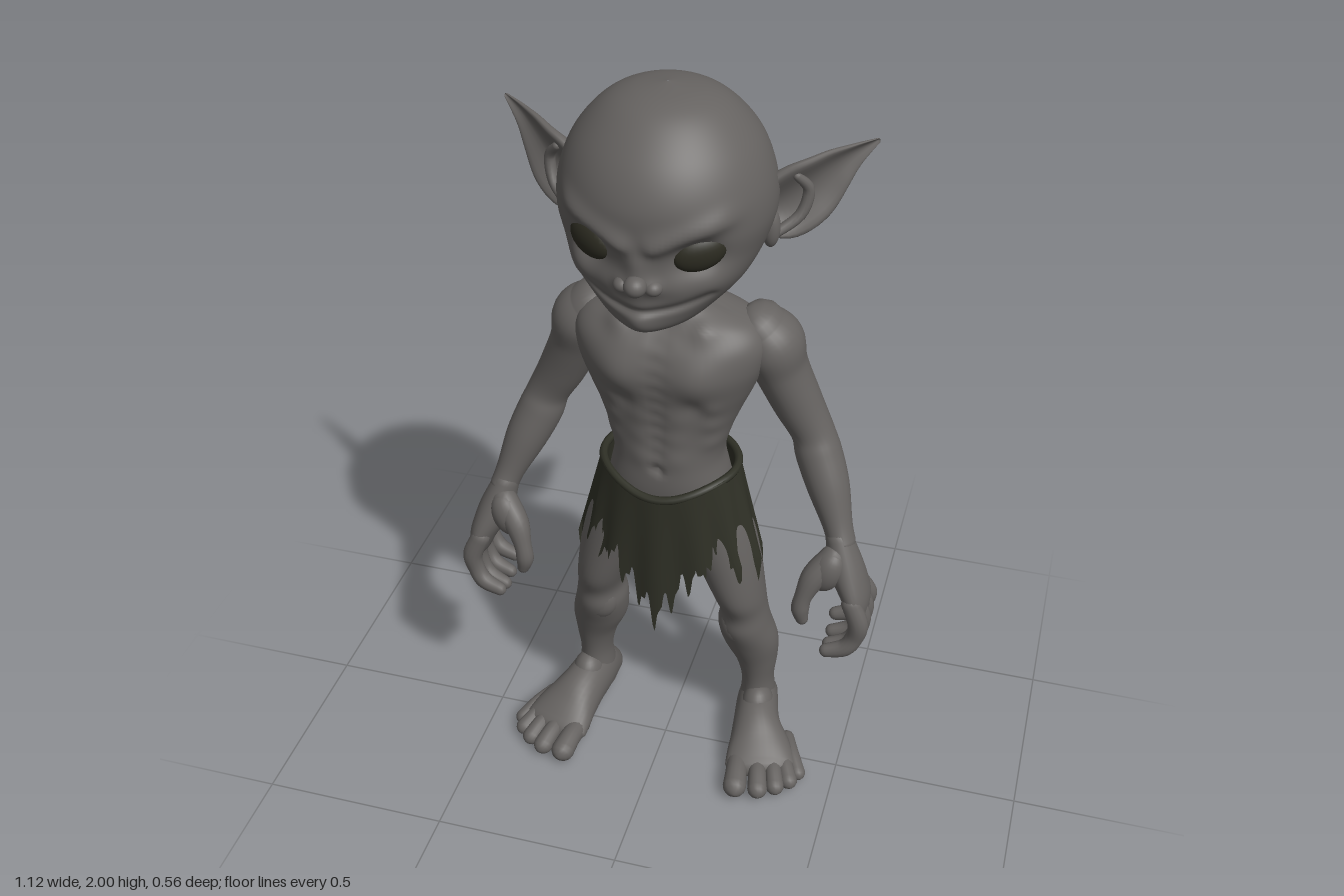
import * as THREE from 'three';

const skin = new THREE.MeshStandardMaterial({ color: 0x656260 });
skin.name = 'grey skin';
const cloth = new THREE.MeshStandardMaterial({ color: 0x2f3026, side: THREE.DoubleSide });
cloth.name = 'dark cloth';
const eyeDark = new THREE.MeshStandardMaterial({ color: 0x2c2b21 });
eyeDark.name = 'dark eye';

const V = (x, y, z) => new THREE.Vector3(x, y, z);

function surface(pos, index) {
  const g = new THREE.BufferGeometry();
  g.setAttribute('position', new THREE.Float32BufferAttribute(pos, 3));
  g.setIndex(index);
  g.computeVertexNormals();
  return g;
}

// Smooth skin over elliptical sections [x, y, z, radius along ref, radius across].
// flat keeps every ring horizontal; otherwise rings follow the path and the ends are rounded.
function loft(sections, { ref = V(1, 0, 0), flat = false, seg = 20, sub = 5, round = (c, s) => [c, s] } = {}) {
  const rows = [];
  const n = sections.length - 1;
  const at = (i) => sections[Math.min(n, Math.max(0, i))];
  for (let k = 0; k <= n * sub; k++) {
    const i = Math.min(n - 1, Math.floor(k / sub)), t = k / sub - i;
    rows.push(at(i).map((b, d) => {
      const a = at(i - 1)[d], c = at(i + 1)[d], e = at(i + 2)[d];
      return b + 0.5 * t * (c - a + t * (2 * a - 5 * b + 4 * c - e + t * (3 * (b - c) + e - a)));
    }));
  }
  const point = (r) => V(r[0], r[1], r[2]);
  const rings = rows.map((r, i) => {
    const dir = point(rows[Math.min(i + 1, rows.length - 1)]).sub(point(rows[Math.max(i - 1, 0)])).normalize();
    if (flat) dir.set(0, Math.sign(dir.y), 0);
    return { p: point(r), a: r[3], b: r[4], dir };
  });
  if (!flat) {
    const cap = (r, sign) => [0.4, 0.75, 0.95, 1].map((h) => {
      const k = Math.max(0.02, Math.sqrt(1 - h * h));
      return { p: r.p.clone().addScaledVector(r.dir, sign * h * Math.min(r.a, r.b)), a: r.a * k, b: r.b * k, dir: r.dir };
    });
    const head = cap(rings[0], -1).reverse(), tail = cap(rings[rings.length - 1], 1);
    rings.unshift(...head);
    rings.push(...tail);
  }
  const pos = [], index = [];
  rings.forEach(({ p, a, b, dir }, i) => {
    const u = ref.clone().addScaledVector(dir, -ref.dot(dir)).normalize();
    const v = dir.clone().cross(u);
    for (let j = 0; j < seg; j++) {
      const w = (j / seg) * Math.PI * 2;
      const [c, s] = round(Math.cos(w), Math.sin(w));
      pos.push(...p.clone().addScaledVector(u, a * c).addScaledVector(v, b * s).toArray());
      if (i < rings.length - 1) {
        const q = i * seg + j, r = i * seg + (j + 1) % seg;
        index.push(q, r, q + seg, r, r + seg, q + seg);
      }
    }
  });
  return surface(pos, index);
}

// Push the surface softly around (x, y) and its mirror, on the front (1) or back (-1).
function sculpt(geo, bumps) {
  const p = geo.attributes.position;
  const all = bumps.flatMap((b) => (b[0] ? [b, [-b[0], b[1], b[2], b[3], -b[4], b[5], b[6]]] : [b]));
  for (let i = 0; i < p.count; i++) {
    const x = p.getX(i), y = p.getY(i), z = p.getZ(i);
    const out = [x, y, z];
    for (const [bx, by, side, r, ...d] of all) {
      if ((z + 0.04) * side < 0) continue;
      const w = Math.exp(-((x - bx) ** 2 + (y - by) ** 2) / (r * r));
      d.forEach((m, k) => { out[k] += m * w; });
    }
    p.setXYZ(i, ...out);
  }
  geo.computeVertexNormals();
  return geo;
}

function ellipsoid(x, y, z, rx, ry, rz, yaw = 0, roll = 0) {
  return new THREE.SphereGeometry(1, 24, 16).scale(rx, ry, rz).rotateZ(roll).rotateY(yaw).translate(x, y, z);
}

function mirrored(geo) {
  const g = geo.clone().scale(-1, 1, 1);
  const ix = g.index.array;
  for (let i = 0; i < ix.length; i += 3) [ix[i], ix[i + 1]] = [ix[i + 1], ix[i]];
  g.computeVertexNormals();
  return g;
}

// Rows [y, half width, back z, front z] to horizontal sections.
const stack = (rows) => rows.map(([y, w, b, f]) => [0, y, (b + f) / 2, w, (f - b) / 2]);

// Hanging cloth between two angles (front is PI / 2) with a ragged hem.
function drape(a0, a1, grow, top, hem) {
  const cols = 180, rows = 12, pos = [], index = [];
  for (let i = 0; i <= cols; i++) {
    const a = a0 + (a1 - a0) * (i / cols), yt = top(a), yh = hem(a);
    for (let j = 0; j <= rows; j++) {
      const y = yt + (yh - yt) * (j / rows);
      const drop = Math.min(1, (0.96 - y) / 0.3);
      const fold = 1 + 0.03 * drop * Math.sin(a * 13) + grow;
      pos.push((0.18 + 0.07 * drop) * fold * Math.cos(a), y, -0.053 + 0.15 * fold * Math.sin(a));
      if (i < cols && j < rows) {
        const q = i * (rows + 1) + j, r = q + rows + 1;
        index.push(q, r, q + 1, r, r + 1, q + 1);
      }
    }
  }
  return surface(pos, index);
}

export function createModel() {
  const model = new THREE.Group();
  const add = (name, geo, mat = skin) => {
    const m = new THREE.Mesh(geo, mat);
    m.name = name;
    model.add(m);
  };
  const pair = (name, geo, mat = skin) => {
    add(name + 'Left', geo, mat);
    add(name + 'Right', mirrored(geo), mat);
  };

  // Head: round skull, flat-bottomed jaw, scowling brow, broad nose and thin grin
  const head = loft(stack([
    [2, 0.002, -0.022, -0.018], [1.985, 0.09, -0.11, 0.07], [1.95, 0.155, -0.175, 0.135], [1.88, 0.215, -0.24, 0.2],
    [1.8, 0.248, -0.273, 0.236], [1.72, 0.257, -0.28, 0.238], [1.65, 0.24, -0.262, 0.228], [1.58, 0.205, -0.215, 0.224],
    [1.53, 0.16, -0.15, 0.222], [1.49, 0.112, -0.09, 0.208], [1.47, 0.065, -0.04, 0.165], [1.465, 0.002, 0.07, 0.074],
  ]), { flat: true, seg: 128, sub: 10 });
  const face = [
    [0.125, 1.685, 1, 0.048, 0, 0, -0.036], [0.16, 1.61, 1, 0.045, 0.005, 0, 0.014], [0, 1.5, 1, 0.04, 0, 0, 0.012],
    [0, 1.58, 1, 0.04, 0, 0, 0.008], [0, 1.525, 1, 0.03, 0, 0, 0.006], [0.08, 1.61, 1, 0.035, 0, 0, 0.008],
    [0, 1.675, 1, 0.03, 0, 0, 0.012], [0, 1.63, 1, 0.034, 0, 0, 0.02], [0.035, 1.615, 1, 0.02, 0, 0, 0.012],
  ];
  for (let t = 0; t <= 1; t += 0.2) face.push([0.035 + 0.15 * t, 1.72 + 0.055 * t, 1, 0.024, 0, -0.004, 0.013]);
  for (let x = 0; x <= 0.15; x += 0.0125) face.push([x, 1.545 + 1.5 * x * x, 1, 0.011, 0, 0, -0.007]);
  add('head', sculpt(head, face));
  add('noseTip', ellipsoid(0, 1.625, 0.25, 0.027, 0.025, 0.029));
  pair('nostril', ellipsoid(0.036, 1.615, 0.228, 0.022, 0.019, 0.024));
  pair('eye', ellipsoid(0.126, 1.687, 0.17, 0.064, 0.044, 0.028, 0.52, 0.2), eyeDark);

  // Ears: long, swept back, hollow at the front, with an inner fold
  pair('ear', loft([
    [0.215, 1.675, -0.05, 0.05, 0.04], [0.26, 1.695, -0.07, 0.085, 0.046], [0.32, 1.735, -0.1, 0.085, 0.036],
    [0.37, 1.778, -0.135, 0.058, 0.024], [0.41, 1.808, -0.165, 0.029, 0.015], [0.452, 1.834, -0.19, 0.007, 0.006],
  ], { ref: V(0, 1, 0), seg: 32, round: (c, s) => [c, s > 0 ? s * (1 - 1.5 * s * s) : s] }));
  pair('earLobe', ellipsoid(0.243, 1.66, -0.035, 0.022, 0.05, 0.022));
  pair('earFold', loft([
    [0.25, 1.64, -0.045, 0.014, 0.012], [0.3, 1.675, -0.085, 0.016, 0.014],
    [0.315, 1.735, -0.1, 0.014, 0.014], [0.29, 1.775, -0.08, 0.01, 0.01],
  ], { ref: V(0, 0, 1), seg: 12 }));

  // Torso with neck, sloping shoulders, chest muscles, shoulder blades and spine
  const torso = loft(stack([
    [1.52, 0.07, -0.125, 0.02], [1.455, 0.076, -0.135, 0.018], [1.42, 0.13, -0.158, 0.025], [1.385, 0.21, -0.18, 0.05],
    [1.34, 0.242, -0.2, 0.078], [1.28, 0.24, -0.218, 0.09], [1.21, 0.216, -0.22, 0.086], [1.14, 0.186, -0.21, 0.078],
    [1.07, 0.159, -0.19, 0.076], [1, 0.143, -0.17, 0.08], [0.93, 0.155, -0.175, 0.08], [0.86, 0.168, -0.178, 0.07],
    [0.78, 0.15, -0.16, 0.055], [0.7, 0.04, -0.08, 0],
  ]), { flat: true, seg: 72, sub: 7, round: (c, s) => [c, s].map((v) => Math.sign(v) * Math.abs(v) ** 0.88) });
  const body = [
    [0.1, 1.275, 1, 0.07, 0, 0, 0.022], [0.09, 1.195, 1, 0.03, 0, 0, -0.01], [0.11, 1.395, 1, 0.03, 0, 0.005, 0.014],
    [0.12, 1.3, -1, 0.07, 0, 0, -0.02], [0.06, 1.08, -1, 0.05, 0, 0, -0.012], [0, 1.41, 1, 0.03, 0, 0, -0.015],
    [0, 0.99, 1, 0.012, 0, 0, -0.012],
  ];
  for (let y = 1; y < 1.4; y += 0.04) body.push([0, y, -1, 0.03, 0, 0, 0.013], [0, y, 1, 0.016, 0, 0, -0.005]);
  for (let y = 1.03; y < 1.18; y += 0.06) body.push([0.045, y, 1, 0.03, 0, 0, 0.005], [0.13, y + 0.04, 1, 0.024, 0.002, 0, 0.005]);
  add('torso', sculpt(torso, body));

  // Arms hanging out and forward
  pair('arm', loft([
    [0.215, 1.35, -0.1, 0.062, 0.076], [0.243, 1.305, -0.105, 0.08, 0.091], [0.267, 1.23, -0.115, 0.068, 0.08],
    [0.31, 1.13, -0.125, 0.063, 0.068], [0.352, 1.05, -0.125, 0.056, 0.058], [0.375, 0.99, -0.113, 0.06, 0.062],
    [0.41, 0.91, -0.085, 0.055, 0.058], [0.446, 0.82, -0.05, 0.039, 0.043], [0.462, 0.775, -0.035, 0.037, 0.046],
  ], { seg: 28, sub: 6 }));
  pair('elbow', ellipsoid(0.35, 1.04, -0.15, 0.04, 0.05, 0.032));

  // Hands with curled fingers
  pair('palm', loft([
    [0.455, 0.79, -0.035, 0.035, 0.042], [0.482, 0.71, -0.02, 0.045, 0.06],
    [0.513, 0.64, -0.012, 0.037, 0.076], [0.523, 0.6, -0.012, 0.028, 0.076],
  ], { seg: 28 }));
  pair('thumbMuscle', ellipsoid(0.437, 0.712, 0.012, 0.045, 0.066, 0.042, 0, -0.35));
  [0.05, 0.008, -0.035, -0.076].forEach((z, i) => {
    const lift = [0.012, 0, 0.008, 0.035][i];
    pair('finger' + (i + 1), loft([
      [0.51, 0.64, z * 0.85, 0.024, 0.026], [0.534, 0.575 + lift / 2, z, 0.024, 0.027], [0.526, 0.52 + lift, z, 0.021, 0.024],
      [0.503, 0.485 + lift, z + 0.005, 0.022, 0.024], [0.456, 0.47 + lift, z + 0.012, 0.017, 0.019],
    ], { ref: V(0, 0, 1), seg: 14 }));
  });
  pair('thumb', loft([
    [0.45, 0.75, 0, 0.035, 0.035], [0.408, 0.7, 0.03, 0.033, 0.034], [0.386, 0.645, 0.05, 0.024, 0.024],
    [0.38, 0.605, 0.055, 0.024, 0.024], [0.386, 0.572, 0.055, 0.017, 0.017],
  ], { ref: V(0, 0, 1), seg: 14 }));

  // Legs with knees and calves
  pair('leg', loft([
    [0.09, 0.88, -0.045, 0.085, 0.105], [0.118, 0.78, -0.05, 0.1, 0.11], [0.158, 0.66, -0.052, 0.088, 0.105],
    [0.19, 0.55, -0.056, 0.07, 0.098], [0.203, 0.48, -0.068, 0.064, 0.084], [0.205, 0.42, -0.077, 0.072, 0.088],
    [0.219, 0.34, -0.1, 0.076, 0.08], [0.235, 0.26, -0.115, 0.058, 0.067], [0.24, 0.18, -0.12, 0.045, 0.058],
    [0.241, 0.1, -0.126, 0.05, 0.07], [0.242, 0.04, -0.135, 0.052, 0.08],
  ], { flat: true, seg: 32, sub: 6 }));
  pair('kneecap', ellipsoid(0.198, 0.435, -0.032, 0.052, 0.065, 0.042));

  // Broad feet, splayed outward
  pair('foot', loft([
    [0.237, 0.052, -0.185, 0.048, 0.05], [0.243, 0.078, -0.12, 0.078, 0.058], [0.26, 0.076, -0.03, 0.074, 0.066],
    [0.285, 0.055, 0.04, 0.054, 0.088], [0.3, 0.038, 0.09, 0.037, 0.098],
  ], { ref: V(0, 1, 0), seg: 32 }));
  pair('instep', ellipsoid(0.252, 0.115, -0.07, 0.045, 0.06, 0.055));
  [[0.235, 0.25, 0.185, 0.031], [0.288, 0.312, 0.175, 0.026], [0.322, 0.356, 0.15, 0.024],
    [0.34, 0.388, 0.118, 0.023], [0.35, 0.405, 0.08, 0.021]].forEach(([x0, x1, z, r], i) => {
    pair('toe' + (i + 1), loft([
      [x0, 0.038, z - 0.11, r, r], [(x0 + x1) / 2, 0.042, z - 0.05, r * 0.95, r * 0.95],
      [x1, r + 0.002, z, r, r * 1.05],
    ], { ref: V(0, 1, 0), seg: 16 }));
  });

  // Ragged loincloth: skirt, pointed front flap and thin rolled waistband
  const tri = (v) => Math.abs(((v % 1) + 1) % 1 - 0.5) * 4 - 1;
  const front = (a) => Math.max(0, Math.sin(a));
  const back = (a) => Math.max(0, -Math.sin(a));
  const top = (a) => 0.957 - 0.04 * front(a) ** 4;
  const jag = (a) => 0.055 * tri(a * 2.387) + 0.035 * tri(a * 5.57 + 0.3);
  add('skirt', drape(0, Math.PI * 2, 0, top, (a) => 0.71 + 0.03 * front(a) - 0.06 * Math.cos(a) ** 2
    - 0.15 * back(a) ** 2 + jag(a)), cloth);
  add('frontFlap', drape(0.5, Math.PI - 0.5, 0.03, top, (a) => {
    const off = Math.abs(a - Math.PI / 2);
    return Math.min(0.9, 0.53 + 0.36 * off - 0.05 * tri(off * 5.5) + 0.02 * tri(a * 11));
  }), cloth);
  const band = [];
  for (let i = 0; i < 24; i++) {
    const a = (i / 24) * Math.PI * 2;
    band.push(V(0.177 * Math.cos(a), top(a) - 0.006, -0.053 + 0.148 * Math.sin(a)));
  }
  add('waistband', new THREE.TubeGeometry(new THREE.CatmullRomCurve3(band, true), 72, 0.011, 8, true), cloth);

  return model;
}
